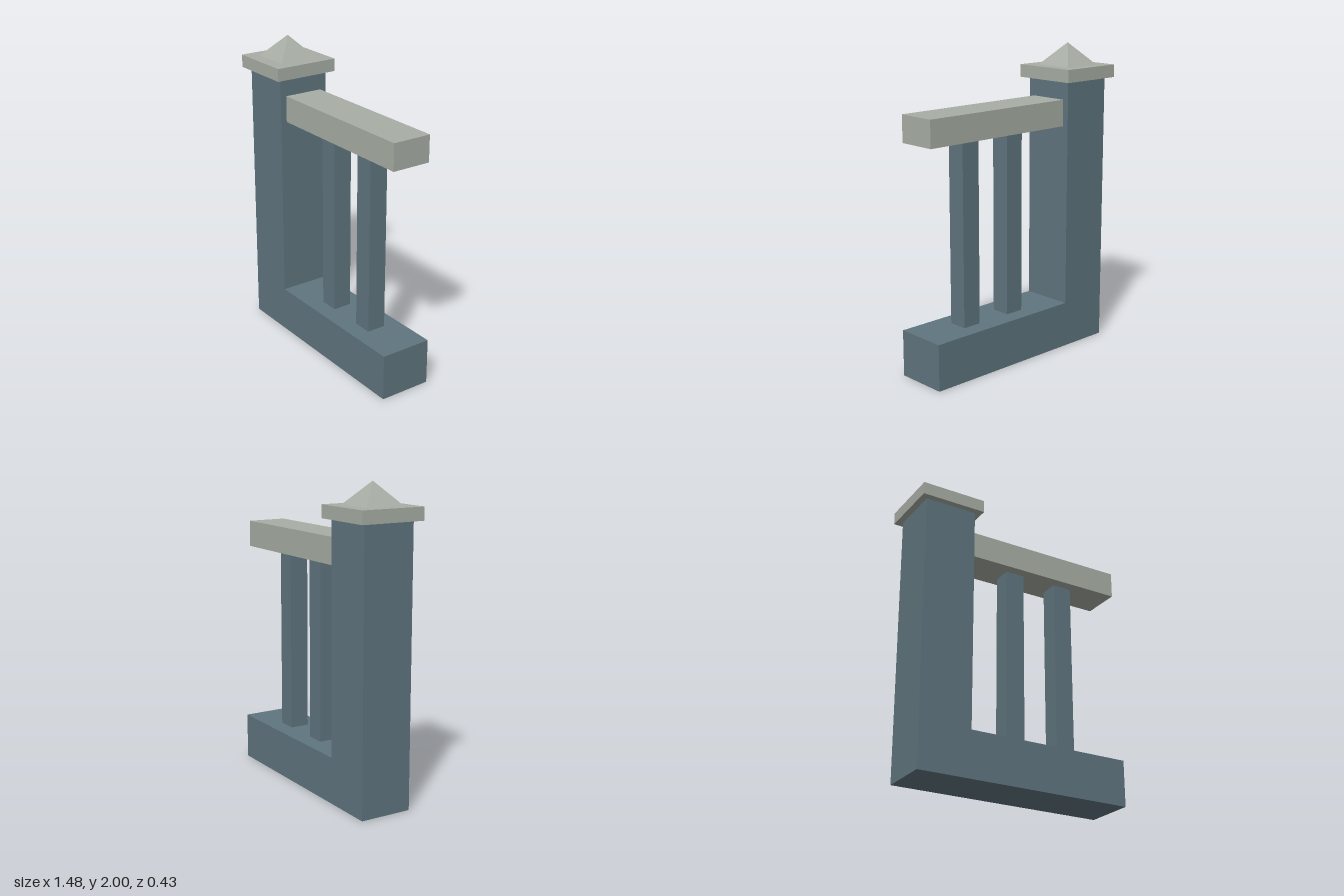
import * as THREE from 'three';

export function createModel() {
  const model = new THREE.Group();
  const slate = new THREE.MeshStandardMaterial({ color: 0x60757f });
  slate.name = 'slate blue';
  const stone = new THREE.MeshStandardMaterial({ color: 0xa8aea5 });
  stone.name = 'pale stone';

  const add = (name, geometry, material) => {
    const mesh = new THREE.Mesh(geometry, material);
    mesh.name = name;
    model.add(mesh);
    return mesh;
  };
  // Box from its x and y extents and its depth, centred on z = 0
  const addBox = (name, material, x0, x1, y0, y1, depth) =>
    add(name, new THREE.BoxGeometry(x1 - x0, y1 - y0, depth), material)
      .position.set((x0 + x1) / 2, (y0 + y1) / 2, 0);

  // Post and low plinth form one L-shaped block
  const profile = new THREE.Shape([
    [-0.699, 0], [0.74, 0], [0.74, 0.3], [-0.355, 0.3], [-0.355, 1.775], [-0.699, 1.775],
  ].map(([x, y]) => new THREE.Vector2(x, y)));
  const block = new THREE.ExtrudeGeometry(profile, { depth: 0.344, bevelEnabled: false });
  block.translate(0, 0, -0.172);
  add('postAndPlinth', block, slate);

  // Post cap with a four-sided pyramid finial
  addBox('postCap', stone, -0.742, -0.312, 1.775, 1.857, 0.43);
  const pyramid = new THREE.ConeGeometry(0.132 * Math.SQRT2, 0.143, 4, 1, false, Math.PI / 4).toNonIndexed();
  pyramid.computeVertexNormals();
  add('finial', pyramid, stone).position.set(-0.527, 1.9285, 0);

  // Handrail and the balusters that carry it
  addBox('handrail', stone, -0.355, 0.74, 1.486, 1.657, 0.26);
  for (const x of [0.011, 0.376]) {
    addBox('baluster', slate, x - 0.064, x + 0.064, 0.3, 1.486, 0.126);
  }
  return model;
}
